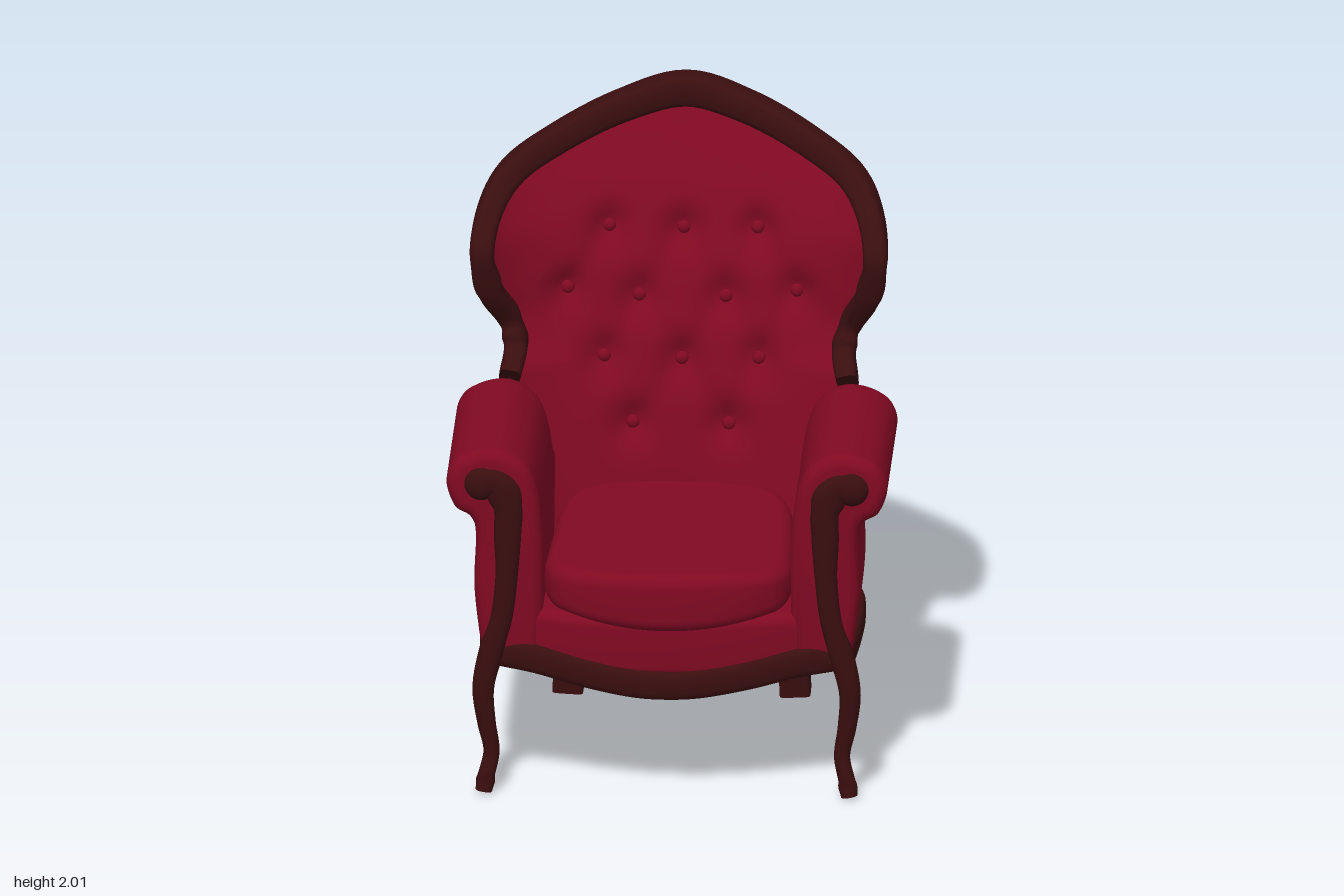
import * as THREE from 'three';
import { toCreasedNormals } from 'three/addons/utils/BufferGeometryUtils.js';

const { smoothstep, lerp, clamp } = THREE.MathUtils;
const V = (x, y, z) => new THREE.Vector3(x, y, z);
const fabric = new THREE.MeshStandardMaterial({ color: 0x800922, side: THREE.DoubleSide });
const wood = new THREE.MeshStandardMaterial({ color: 0x3a0e0f });

function mesh(group, name, geometry, material) {
  const m = new THREE.Mesh(geometry, material);
  m.name = name;
  group.add(m);
  return m;
}

// Grid of quads from a function p(row, column) with both in 0..1
function grid(rows, cols, p) {
  const pos = [], idx = [];
  for (let i = 0; i <= rows; i++)
    for (let j = 0; j <= cols; j++) {
      pos.push(...p(i / rows, j / cols).toArray());
      if (i < rows && j < cols) {
        const a = i * (cols + 1) + j, b = a + cols + 1;
        idx.push(a, a + 1, b, a + 1, b + 1, b);
      }
    }
  const g = new THREE.BufferGeometry();
  g.setAttribute('position', new THREE.Float32BufferAttribute(pos, 3));
  g.setIndex(idx);
  g.computeVertexNormals();
  return g;
}

// Sweep a rounded (power 1) to boxy (power < 1) section along points [x, y, z, halfWidth, halfDepth];
// the depth axis stays close to ref
function sweep(points, ref, power, steps = 48, sides = 16) {
  const path = new THREE.CatmullRomCurve3(points.map(p => V(p[0], p[1], p[2])));
  const size = new THREE.CatmullRomCurve3(points.map(p => V(p[3], p[4], 0)));
  const bend = c => Math.sign(c) * Math.abs(c) ** power;
  const g = grid(steps + 2, sides, (u, v) => {
    const i = Math.round(u * (steps + 2));
    const t = clamp((i - 1) / steps, 0, 1);
    const cap = i === 0 || i === steps + 2 ? 0 : 1;
    const T = path.getTangent(t), s = size.getPoint(t), th = v * Math.PI * 2;
    const a = ref.clone().cross(T).normalize(), b = T.clone().cross(a);
    return path.getPoint(t)
      .addScaledVector(a, bend(Math.cos(th)) * s.x * cap)
      .addScaledVector(b, bend(Math.sin(th)) * s.y * cap);
  });
  return toCreasedNormals(g, 0.8);
}

function extrude(shape, depth, bevel, steps = 1) {
  return new THREE.ExtrudeGeometry(shape, {
    depth: depth - 2 * bevel, steps, curveSegments: 24, bevelThickness: bevel,
    bevelSize: bevel, bevelOffset: -bevel, bevelSegments: 6,
  }).translate(0, 0, bevel);
}

function moveVertices(g, rule) {
  const p = g.attributes.position, v = V(0, 0, 0);
  for (let i = 0; i < p.count; i++) {
    rule(v.fromBufferAttribute(p, i));
    p.setXYZ(i, v.x, v.y, v.z);
  }
  return toCreasedNormals(g, 0.8);
}

// One half of the carved frame around the back, from crest to arm
const railHalf = [
  [0, 1.945, -0.675, 0.055, 0.058], [0.2, 1.9, -0.635, 0.05, 0.055], [0.41, 1.825, -0.51, 0.047, 0.05],
  [0.55, 1.755, -0.38, 0.045, 0.05], [0.615, 1.665, -0.25, 0.042, 0.05], [0.635, 1.55, -0.145, 0.04, 0.045],
  [0.61, 1.42, -0.18, 0.04, 0.045], [0.55, 1.3, -0.25, 0.038, 0.045], [0.53, 1.22, -0.23, 0.038, 0.045],
  [0.545, 1.14, -0.14, 0.035, 0.04],
];
const railCurve = new THREE.CatmullRomCurve3(railHalf.map(p => V(p[0], p[1], p[2])));

// Back surfaces: each level is half an ellipse from edge to edge
const level = (E, zBack, t) => V(E.x * Math.sin(t), E.y, zBack + (E.z - zBack) * (1 - Math.cos(t)));
const outerZ = y => Math.max(-0.715, -0.39 - 0.215 * (y - 0.42) - 0.17 * Math.max(0, y - 1.3) ** 2);
const innerZ = y => -0.25 - 0.18 * (y - 0.77) - 0.14 * (y - 0.77) ** 2;
function edge(v, outer) {
  if (v <= 0.7) return railCurve.getPoint(v / 0.7);
  const k = (v - 0.7) / 0.3, s = smoothstep(k, 0, 0.35);
  return outer ? V(0.545 + 0.07 * s - 0.03 * k * k, 1.14 - 0.7 * k, -0.14 + 0.29 * s)
    : V(0.545 - 0.085 * k, 1.14 - 0.56 * k, -0.14 + 0.14 * k);
}

// Tufting: padded swell, deep dimples at buttons, soft pleats between diagonal neighbours
const buttons = [[0, 1.54], [0, 1.14]];
for (const [x, y] of [[0.24, 1.55], [0.37, 1.365], [0.14, 1.335], [0.25, 1.15], [0.155, 0.94]])
  buttons.push([x, y], [-x, y]);
const pleats = [];
for (const a of buttons) for (const b of buttons) {
  const dy = b[1] - a[1];
  if (dy > 0.1 && Math.hypot(b[0] - a[0], dy) < 0.3) pleats.push([a, b]);
}
function tuft(x, y) {
  let d = 0, crease = 0;
  for (const [bx, by] of buttons) d += 0.042 * Math.exp(-((x - bx) ** 2 + (y - by) ** 2) / 0.004);
  for (const [a, b] of pleats) {
    const ex = b[0] - a[0], ey = b[1] - a[1];
    const k = clamp(((x - a[0]) * ex + (y - a[1]) * ey) / (ex * ex + ey * ey), 0, 1);
    crease = Math.max(crease, 0.007 * Math.exp(-((x - a[0] - k * ex) ** 2 + (y - a[1] - k * ey) ** 2) / 0.0015));
  }
  return d + crease;
}
function paddedPoint(E, t) {
  const p = level(E, innerZ(E.y), t);
  p.z += 0.03 * Math.cos(t) * smoothstep(1.95 - E.y, 0, 0.3) - tuft(p.x, p.y);
  return p;
}

export function createModel() {
  const chair = new THREE.Group();
  chair.name = 'armchair';
  const Y = V(0, 1, 0), Z = V(0, 0, 1);

  // Back
  const angle = h => (h - 0.5) * Math.PI;
  mesh(chair, 'outerBack', grid(60, 48, (v, h) => {
    const E = edge(v, true);
    return level(E, outerZ(E.y), angle(h));
  }), fabric);
  mesh(chair, 'tuftedBack', grid(90, 90, (v, h) => paddedPoint(edge(v, false), angle(h))), fabric);
  const mirrored = railHalf.slice(1).reverse().map(([x, ...r]) => [-x, ...r]);
  mesh(chair, 'backFrame', sweep([...mirrored, ...railHalf], Z, 0.55, 120, 20), wood);

  // Buttons set into the dimples
  for (const [x, y] of buttons) {
    let v = 0;
    while (v < 1 && edge(v, false).y > y) v += 0.002;
    const E = edge(v, false), p = paddedPoint(E, Math.asin(x / E.x));
    const b = mesh(chair, 'button', new THREE.SphereGeometry(0.022, 14, 10), fabric);
    b.position.set(x, y, p.z + 0.007);
    b.scale.z = 0.7;
  }

  // Seat base, with its front lower edge sagging to the apron
  const plan = new THREE.Shape();
  plan.moveTo(-0.55, -0.6);
  plan.quadraticCurveTo(0, -0.82, 0.55, -0.6);
  plan.lineTo(0.57, -0.15);
  plan.absellipse(0, -0.15, 0.57, 0.51, 0, Math.PI, false);
  mesh(chair, 'seatBase', moveVertices(
    extrude(plan, 0.18, 0.04).rotateX(-Math.PI / 2).translate(0, 0.44, 0),
    p => { if (p.z > 0.5 && p.y < 0.52) p.y -= 0.03 * (1 - (p.x / 0.6) ** 2); }), fabric);

  // Loose cushion
  const pad = new THREE.Shape();
  pad.moveTo(-0.36, -0.63);
  pad.bezierCurveTo(-0.2, -0.77, 0.2, -0.77, 0.36, -0.63);
  pad.quadraticCurveTo(0.4, -0.58, 0.4, -0.5);
  pad.lineTo(0.38, -0.05);
  pad.bezierCurveTo(0.36, 0.22, 0.28, 0.235, 0, 0.235);
  pad.bezierCurveTo(-0.28, 0.235, -0.36, 0.22, -0.38, -0.05);
  pad.lineTo(-0.4, -0.5);
  pad.quadraticCurveTo(-0.4, -0.58, -0.36, -0.63);
  mesh(chair, 'seatCushion', moveVertices(
    extrude(pad, 0.195, 0.045).rotateX(-Math.PI / 2).translate(0, 0.575, 0),
    p => { p.y += (p.y < 0.67 ? 0.045 : -0.012) * (p.x / 0.4) ** 2; }), fabric);

  // Wooden base rail round the sides and back
  const base = [[-0.57, 0.46, 0.62, 0.03, 0.042], [-0.585, 0.46, 0.4, 0.03, 0.042]];
  for (let i = 0; i <= 16; i++) {
    const a = Math.PI * (1 - i / 16);
    base.push([0.59 * Math.cos(a), 0.46, 0.15 - 0.515 * Math.sin(a), 0.03, 0.042]);
  }
  base.push([0.585, 0.46, 0.4, 0.03, 0.042], [0.57, 0.46, 0.62, 0.03, 0.042]);
  mesh(chair, 'baseRail', sweep(base, Y, 0.5, 80), wood);

  // Serpentine front apron
  const apron = [[0.54, 0.47, 0.62], [0.42, 0.455, 0.645], [0.25, 0.42, 0.68], [0.1, 0.397, 0.7]];
  const apronPath = [...apron.map(([x, y, z]) => [-x, y, z]), [0, 0.393, 0.705], ...apron.reverse()];
  mesh(chair, 'frontApron', sweep(apronPath.map(p => [...p, 0.025, 0.048]), Y, 0.7), wood);

  for (const s of [1, -1]) {
    const side = s > 0 ? 'left' : 'right';

    // Rolled arm; the body follows the curve of the back and the roll fades into it
    const arm = new THREE.Shape();
    arm.moveTo(s * 0.4, 0.47);
    arm.lineTo(s * 0.4, 0.85);
    arm.splineThru([[0.415, 1], [0.45, 1.1], [0.52, 1.155], [0.6, 1.16], [0.68, 1.125], [0.712, 1.05],
      [0.685, 0.965], [0.635, 0.93], [0.617, 0.87], [0.622, 0.7], [0.608, 0.55], [0.595, 0.47]]
      .map(([x, y]) => new THREE.Vector2(s * x, y)));
    mesh(chair, side + 'Arm', moveVertices(extrude(arm, 0.9, 0.04, 24).translate(0, 0, -0.25), p => {
      const x = Math.abs(p.x), fade = smoothstep(-p.z, 0.04, 0.25), k = smoothstep(p.y, 0.86, 0.96);
      const body = Math.sqrt(1 - (Math.max(0, 0.15 - p.z) / 0.59) ** 2) - 0.02 * smoothstep(0.25 - p.z, 0, 0.25);
      if (x > 0.45) p.x = s * lerp(Math.max(0.41, x * body), x - 0.9 * fade * Math.max(0, x - 0.5), k);
      p.y -= 0.1 * fade * k;
    }), fabric);

    // Cabriole front leg running up into the arm scroll
    const leg = [
      [0.59, 0, 0.638, 0.027, 0.027], [0.582, 0.05, 0.634, 0.027, 0.027], [0.566, 0.13, 0.622, 0.026, 0.028],
      [0.582, 0.23, 0.628, 0.03, 0.03], [0.592, 0.35, 0.635, 0.035, 0.035], [0.565, 0.48, 0.634, 0.04, 0.04],
      [0.532, 0.6, 0.637, 0.037, 0.036], [0.516, 0.74, 0.637, 0.038, 0.036], [0.513, 0.88, 0.64, 0.046, 0.036],
      [0.513, 0.98, 0.64, 0.048, 0.036], [0.545, 1.05, 0.64, 0.048, 0.036], [0.595, 1.058, 0.64, 0.047, 0.036],
    ].map(([x, ...r]) => [s * x, ...r]);
    mesh(chair, side + 'FrontLeg', sweep(leg, Z, 0.85, 70), wood);
    const scroll = mesh(chair, side + 'ArmScroll', new THREE.SphereGeometry(0.056, 20, 14), wood);
    scroll.position.set(s * 0.598, 1.052, 0.645);
    scroll.scale.z = 0.6;

    // Splayed back leg
    const back = [[0.325, 0.46, -0.23], [0.335, 0.35, -0.26], [0.35, 0.2, -0.32], [0.363, 0.08, -0.35], [0.367, 0, -0.358]];
    mesh(chair, side + 'BackLeg', sweep(back.map(([x, y, z]) => [s * x, y, z, 0.05, 0.05]), Z, 0.25, 24, 24), wood);
  }
  return chair;
}
